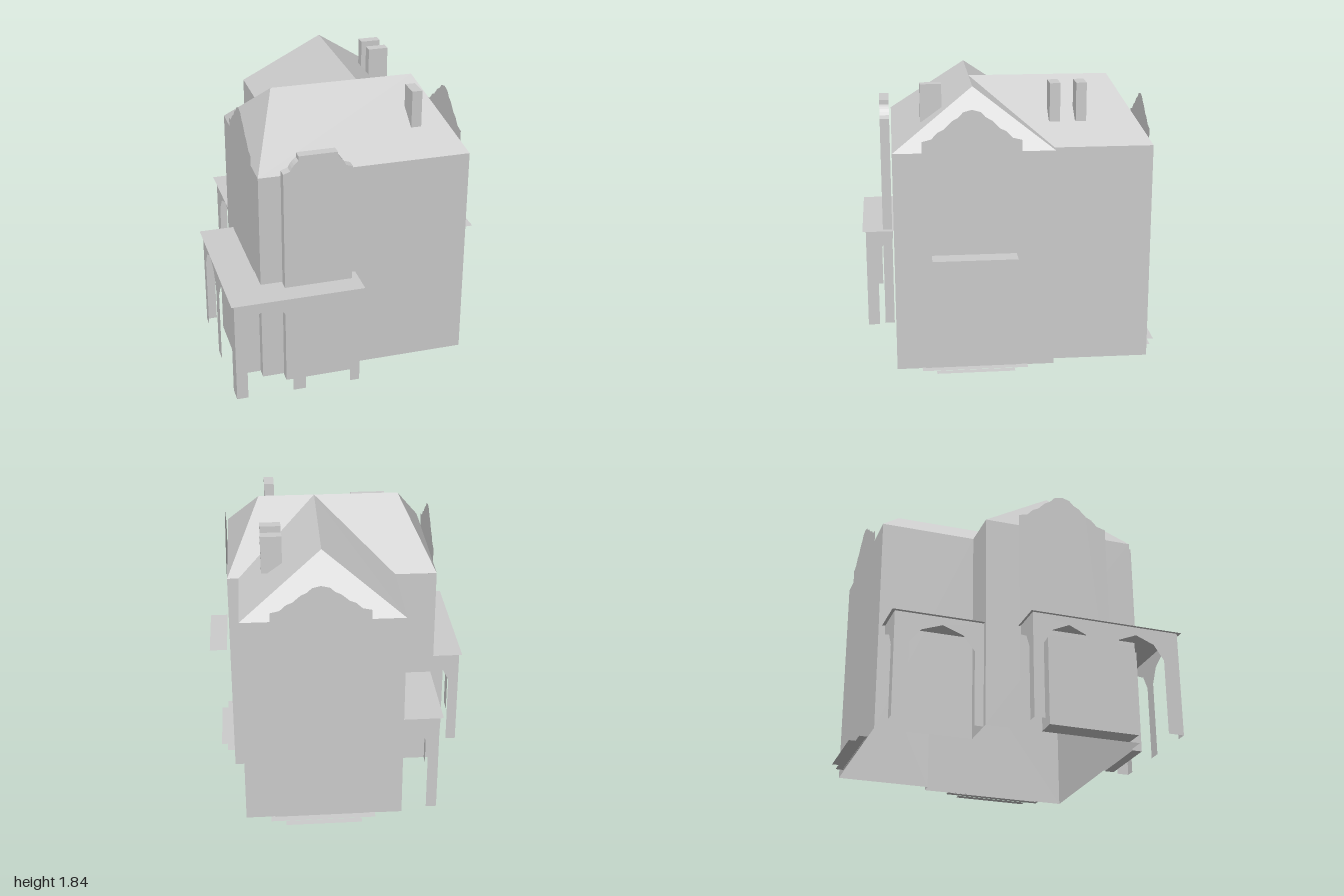
import * as THREE from 'three';

const mat = new THREE.MeshStandardMaterial({ color: 0xcccccc, flatShading: true, side: THREE.DoubleSide });
const EAVES = 1.455, RIDGE = 1.83, PORCH = 0.705;

function add(group, name, geometry, x = 0, y = 0, z = 0, turn = 0) {
  const mesh = new THREE.Mesh(geometry, mat);
  mesh.name = name;
  mesh.position.set(x, y, z);
  mesh.rotation.y = turn;
  group.add(mesh);
  return mesh;
}

// Flat polygons (3 or 4 corners) fanned into triangles
function faces(polys) {
  const pos = [];
  for (const p of polys)
    for (let i = 1; i < p.length - 1; i++) pos.push(...p[0], ...p[i], ...p[i + 1]);
  const g = new THREE.BufferGeometry();
  g.setAttribute('position', new THREE.Float32BufferAttribute(pos, 3));
  g.computeVertexNormals();
  return g;
}

const shapeOf = pts => new THREE.Shape(pts.map(p => new THREE.Vector2(...p)));

// Horizontal sheet between two corners
const sheet = (x0, x1, z0, z1, y) =>
  faces([[[x0, y, z0], [x0, y, z1], [x1, y, z1], [x1, y, z0]]]);

function block(group, name, x0, x1, y0, y1, z0, z1) {
  add(group, name, new THREE.BoxGeometry(x1 - x0, y1 - y0, z1 - z0),
    (x0 + x1) / 2, (y0 + y1) / 2, (z0 + z1) / 2);
}

// Arcade panel: arches [a, b] are cut from the ground; a half arch runs from a to the far end
function arcade(length, arches, halfFrom) {
  const pts = [[0, 0]];
  for (const [a, b] of arches) {
    const w = b - a;
    pts.push([a, 0], [a, 0.5], [a + w * 0.18, 0.6], [a + w / 2, 0.65], [b - w * 0.18, 0.6], [b, 0.5], [b, 0]);
  }
  if (halfFrom !== undefined) {
    const w = length - halfFrom;
    pts.push([halfFrom, 0], [halfFrom, 0.5], [halfFrom + w * 0.32, 0.59], [length, 0.645]);
  } else pts.push([length, 0]);
  pts.push([length, PORCH], [0, PORCH]);
  return new THREE.ShapeGeometry(shapeOf(pts));
}

// Curved gable sheet, full height, centred on its own x = 0
function gable(rise) {
  const half = [[0.315, 0.075], [0.255, 0.09], [0.215, 0.133], [0.175, 0.152], [0.125, 0.203],
    [0.085, 0.225], [0.055, 0.258], [0, 0.273]].map(([x, y]) => [x, EAVES + y * rise]);
  const mirrored = half.slice(0, -1).reverse().map(([x, y]) => [-x, y]);
  return new THREE.ShapeGeometry(shapeOf([[0.315, 0], ...half, ...mirrored, [-0.315, 0]]));
}

export function createModel() {
  const house = new THREE.Group();
  house.name = 'house';

  // Outer walls, following the T-shaped footprint
  const plan = [[-0.655, 0.77], [0.732, 0.776], [0.737, -0.255], [0.662, -0.257],
    [0.665, -0.895], [-0.37, -0.903], [-0.372, -0.268], [-0.648, -0.27]];
  add(house, 'walls', faces(plan.map(([x, z], i) => {
    const [u, v] = plan[(i + 1) % plan.length];
    return [[x, 0, z], [u, 0, v], [u, EAVES, v], [x, EAVES, z]];
  })));

  // Hipped roofs
  const at = (i, y = EAVES) => [plan[i][0], y, plan[i][1]];
  const ridgeL = [0.51, RIDGE, 0.255], ridgeR = [-0.44, RIDGE, 0.25];
  add(house, 'frontRoof', faces([
    [at(0), at(1), ridgeL, ridgeR],
    [at(1), at(2), ridgeL],
    [at(2), at(7), ridgeR, ridgeL],
    [at(7), at(0), ridgeR],
  ]));
  const ridgeFront = [0.132, RIDGE, 0.255], ridgeBack = [0.142, RIDGE, -0.67];
  add(house, 'rearRoof', faces([
    [at(3), at(4), ridgeBack, ridgeFront],
    [at(4), at(5), ridgeBack],
    [at(5), at(6), ridgeFront, ridgeBack],
  ]));

  // Curved gables on both sides and the back
  add(house, 'leftGable', gable(1), 0.742, 0, 0.275, Math.PI / 2);
  add(house, 'rightGable', gable(1), -0.658, 0, 0.275, -Math.PI / 2);
  add(house, 'backGable', gable(0.87), 0.16, 0, -0.907, Math.PI);

  // Front bay with a stepped, scooped parapet
  const bay = new THREE.Shape();
  bay.moveTo(-0.515, 0);
  bay.lineTo(-0.07, 0);
  bay.lineTo(-0.07, 1.5);
  bay.lineTo(-0.115, 1.515);
  bay.quadraticCurveTo(-0.135, 1.56, -0.168, 1.58);
  bay.lineTo(-0.168, 1.61);
  bay.lineTo(-0.417, 1.61);
  bay.lineTo(-0.417, 1.58);
  bay.quadraticCurveTo(-0.45, 1.56, -0.47, 1.515);
  bay.lineTo(-0.515, 1.5);
  add(house, 'frontBay', new THREE.ExtrudeGeometry(bay, { depth: 0.065, bevelEnabled: false, curveSegments: 4 }),
    0, 0, 0.785);

  // Chimneys
  block(house, 'frontChimney', 0.4, 0.467, 1.595, 1.84, 0.45, 0.588);
  for (const z of [-0.48, -0.31])
    block(house, 'rearChimney', 0.38, 0.515, 1.59, 1.84, z, z + 0.068);

  // Corner porch wrapping the front and right side
  const porch = new THREE.Group();
  porch.name = 'cornerPorch';
  house.add(porch);
  add(porch, 'porchRoof', sheet(-0.893, -0.025, -0.05, 0.993, PORCH));
  add(porch, 'frontArcade', arcade(0.824, [[0.074, 0.374], [0.459, 0.759]]), -0.874, 0, 0.97);
  add(porch, 'sideArcade', arcade(1.005, [[0.07, 0.42], [0.52, 0.9]]), -0.874, 0, -0.035, -Math.PI / 2);
  add(porch, 'frontEndArch', arcade(0.19, [], 0.08), -0.05, 0, 0.97, Math.PI / 2);
  add(porch, 'backEndArch', arcade(0.22, [], 0.07), -0.874, 0, -0.035);
  block(porch, 'sideBay', -0.785, -0.65, 0, 0.61, 0.1, 0.7);

  // Small porch in the rear corner
  const rear = new THREE.Group();
  rear.name = 'rearPorch';
  house.add(rear);
  add(rear, 'porchRoof', sheet(-0.632, -0.37, -0.88, -0.268, PORCH));
  add(rear, 'sideArcade', arcade(0.59, [[0.1, 0.53]]), -0.61, 0, -0.86, -Math.PI / 2);
  add(rear, 'endArch', arcade(0.24, [], 0.07), -0.61, 0, -0.86);

  // Door canopy and thin steps
  add(house, 'canopy', sheet(0.765, 0.886, -0.005, 0.54, 0.79));
  add(house, 'sideStep', sheet(0.735, 0.79, -0.08, 0.612, 0.004));
  add(house, 'sideLowerStep', sheet(0.79, 0.835, 0.01, 0.52, 0.002));
  add(house, 'backStep', sheet(-0.19, 0.5, -0.955, -0.9, 0.004));
  add(house, 'backLowerStep', sheet(-0.097, 0.403, -1, -0.955, 0.002));

  return house;
}
